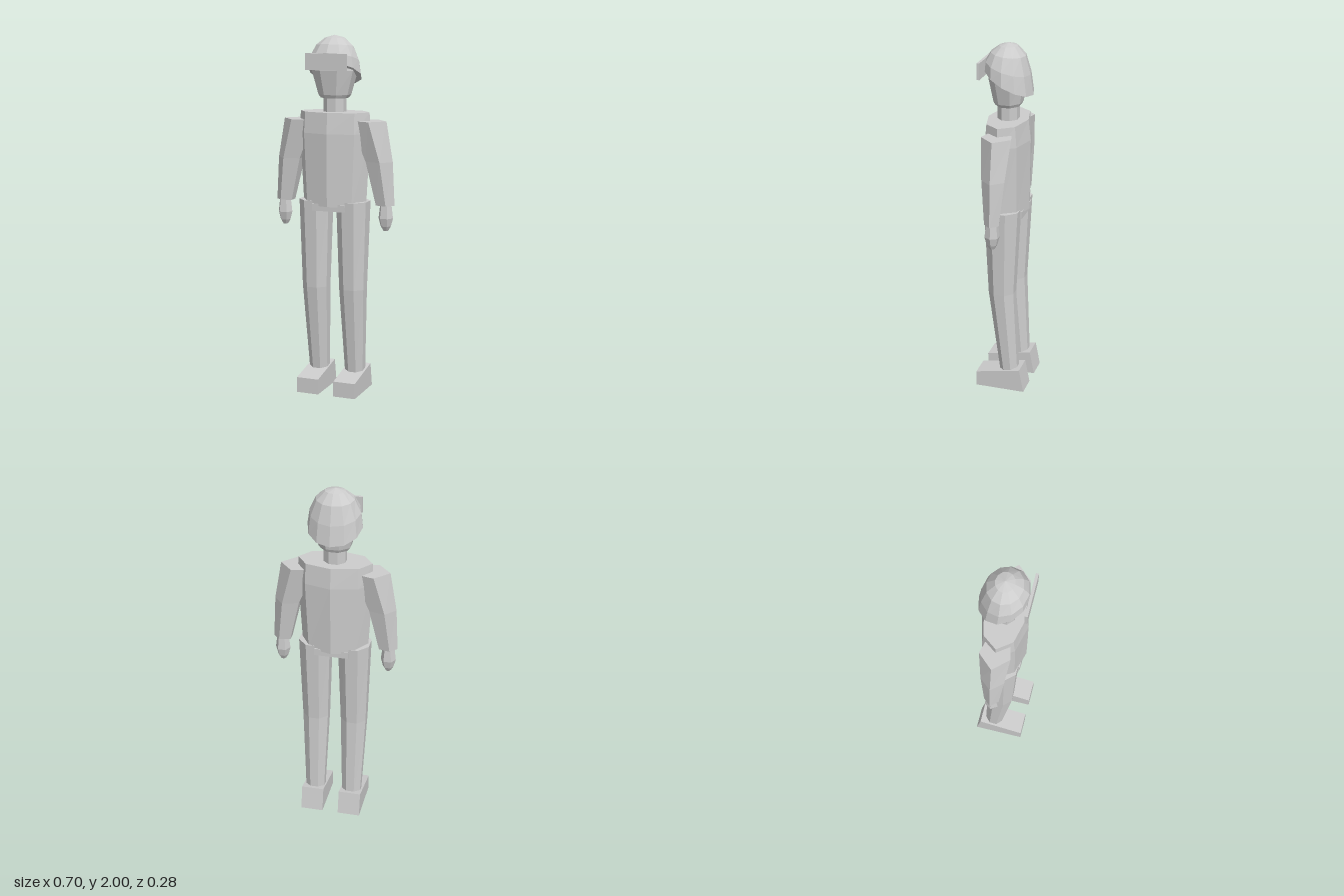
import * as THREE from 'three';

// Faceted solid through elliptical rings, listed bottom to top:
// [y, centreX, centreZ, radiusX, radiusZ, shear]; shear raises y towards +z
function loft(rings, sides, phase = 0) {
  const pos = [], index = [];
  for (const [y, cx, cz, rx, rz, shear = 0] of rings) {
    for (let i = 0; i < sides; i++) {
      const a = phase + (i / sides) * Math.PI * 2;
      const z = cz + Math.sin(a) * rz;
      pos.push(cx + Math.cos(a) * rx, y + shear * z, z);
    }
  }
  const last = (rings.length - 1) * sides;
  const low = rings.length * sides;
  for (const r of [rings[0], rings[rings.length - 1]]) pos.push(r[1], r[0] + (r[5] || 0) * r[2], r[2]);
  for (let i = 0; i < sides; i++) {
    const j = (i + 1) % sides;
    for (let k = 0; k < last; k += sides) {
      index.push(k + i, k + sides + i, k + j, k + j, k + sides + i, k + sides + j);
    }
    index.push(low, i, j, low + 1, last + j, last + i);
  }
  const g = new THREE.BufferGeometry();
  g.setAttribute('position', new THREE.Float32BufferAttribute(pos, 3));
  g.setIndex(index);
  const flat = g.toNonIndexed();
  flat.computeVertexNormals();
  return flat;
}

export function createModel() {
  const model = new THREE.Group();
  model.name = 'figure';
  const grey = new THREE.MeshStandardMaterial({ color: 0xcccccc, flatShading: true });
  grey.name = 'light grey';

  const add = (name, geometry, x = 0, y = 0, z = 0) => {
    const mesh = new THREE.Mesh(geometry, grey);
    mesh.name = name;
    mesh.position.set(x, y, z);
    model.add(mesh);
    return mesh;
  };
  const eighth = Math.PI / 8;

  // Torso and pelvis
  add('torso', loft([
    [1.07, 0, 0, 0.185, 0.12],
    [1.47, 0, 0, 0.208, 0.125],
    [1.585, 0, 0, 0.203, 0.112],
  ], 8));
  add('pelvis', new THREE.BoxGeometry(0.19, 0.04, 0.21), 0, 1.063, 0);

  // Neck and head
  add('neck', loft([[1.56, 0, 0, 0.064, 0.06], [1.69, 0, 0, 0.064, 0.06]], 8, eighth));
  add('head', loft([
    [1.66, 0, 0, 0.078, 0.07],
    [1.678, 0, 0, 0.092, 0.08],
    [1.81, 0, 0, 0.13, 0.105],
    [1.88, 0, 0, 0.115, 0.1],
  ], 8, eighth));

  // Helmet with a rim that drops towards the back, and its visor
  add('helmet', loft([
    [1.795, 0, -0.005, 0.149, 0.132, 0.52],
    [1.87, 0, 0, 0.138, 0.122, 0.3],
    [1.943, 0, 0, 0.104, 0.094, 0.1],
    [1.985, 0, 0, 0.056, 0.05],
    [2.0, 0, 0, 0.001, 0.001],
  ], 12));
  add('visor', new THREE.BoxGeometry(0.236, 0.09, 0.015), 0, 1.86, 0.133);

  // Wedge-shaped shoe profile, drawn in z and y, extruded across x
  const profile = new THREE.Shape([
    [0.141, 0], [0.141, 0.087], [-0.115, 0.135], [-0.141, 0],
  ].map(([z, y]) => new THREE.Vector2(-z, y)));
  const shoe = new THREE.ExtrudeGeometry(profile, { depth: 0.128, bevelEnabled: false });
  shoe.translate(0, 0, -0.064);
  shoe.rotateY(Math.PI / 2);

  // Limbs on both sides
  for (const [side, s] of [['left', 1], ['right', -1]]) {
    const turn = s > 0 ? 0 : Math.PI;
    add(side + 'Arm', loft([
      [1.08, s * 0.295, 0, 0.055, 0.043],
      [1.32, s * 0.259, 0, 0.079, 0.067],
      [1.54, s * 0.191, 0, 0.109, 0.087],
    ], 5, turn));
    add(side + 'Hand', loft([
      [0.94, s * 0.3, 0, 0.015, 0.015],
      [0.965, s * 0.3, 0, 0.03, 0.03],
      [1.01, s * 0.3, 0, 0.042, 0.042],
      [1.09, s * 0.3, 0, 0.032, 0.032],
    ], 6, turn));
    add(side + 'Leg', loft([
      [0.11, s * 0.108, -0.04, 0.058, 0.055],
      [0.6, s * 0.11, 0.002, 0.078, 0.078],
      [1.095, s * 0.11, 0, 0.094, 0.103],
    ], 8, eighth));
    add(side + 'Shoe', shoe, s * 0.11, 0, 0);
  }
  return model;
}
